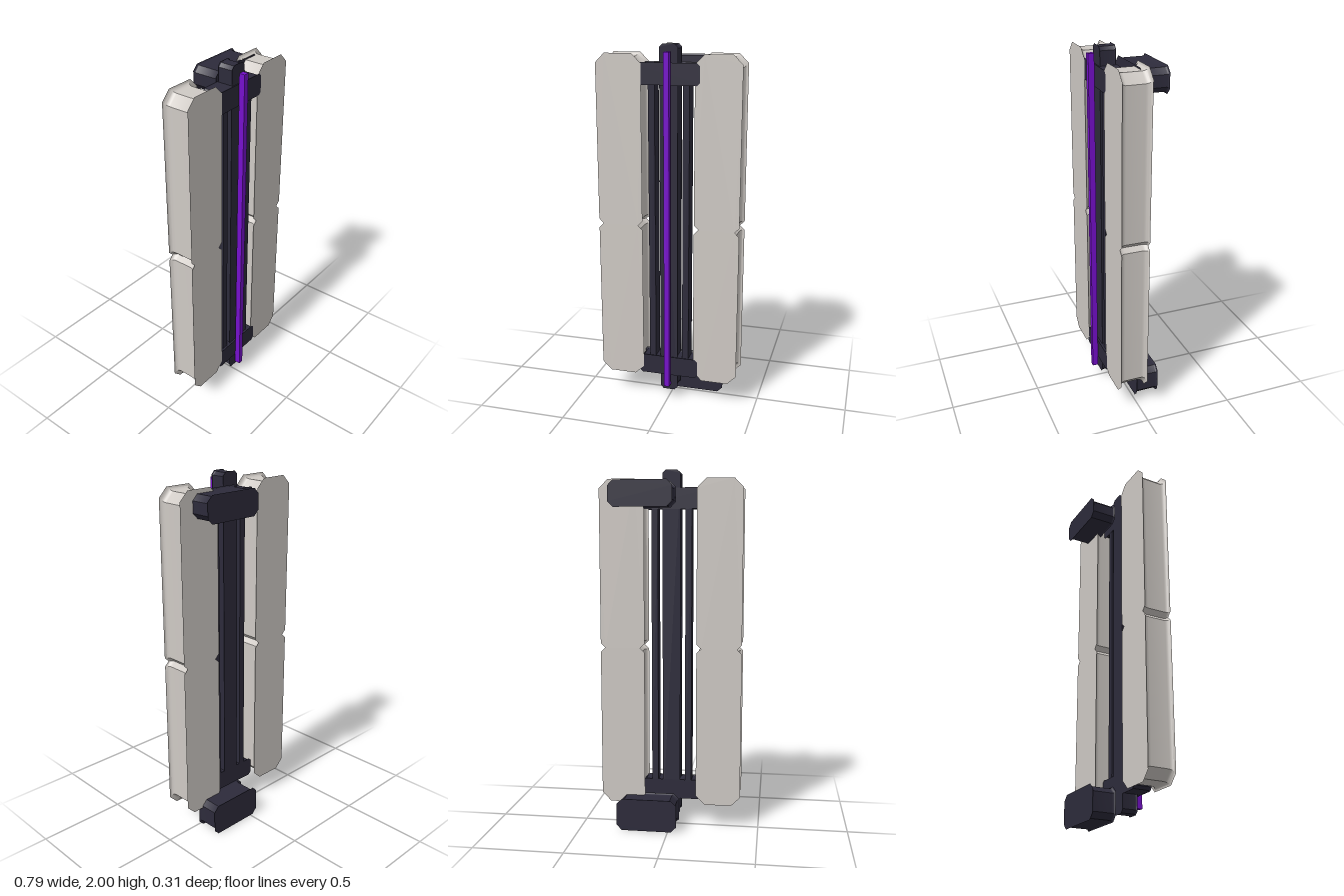
import * as THREE from 'three';
import { toCreasedNormals } from 'three/addons/utils/BufferGeometryUtils.js';

const paint = (name, color) => {
  const m = new THREE.MeshStandardMaterial({ color });
  m.name = name;
  return m;
};

// Chamfered rectangle, counter-clockwise, shrunk by inset; optional V notches at height notchY
function outline({ x0, x1, y0, y1, c, notchY }, inset) {
  const l = x0 + inset, r = x1 - inset, b = y0 + inset, t = y1 - inset;
  const n = 0.025;
  const right = notchY ? [[r, notchY - n], [r - n, notchY], [r, notchY + n]] : [];
  const left = notchY ? [[l, notchY + n], [l + n, notchY], [l, notchY - n]] : [];
  return [[l + c, b], [r - c, b], [r, b + c], ...right, [r, t - c], [r - c, t],
    [l + c, t], [l, t - c], ...left, [l, b + c]];
}

// Slab between z0 and z1 whose rim flares outward along a quarter arc at both faces
function flaredSlab(spec) {
  const { z0, z1, flare, depth } = spec;
  const steps = 6, levels = [];
  for (let i = 0; i <= steps; i++) {
    const a = (i / steps) * Math.PI / 2;
    levels.push([z0 + depth * (1 - Math.cos(a)), flare * Math.sin(a)]);
  }
  for (let i = steps; i >= 0; i--) levels.push([z0 + z1 - levels[i][0], levels[i][1]]);

  const pos = [], index = [];
  const n = outline(spec, 0).length;
  for (const [z, inset] of levels) {
    for (const [x, y] of outline(spec, inset)) pos.push(x, y, z);
  }
  for (let k = 0; k < levels.length - 1; k++) {
    for (let i = 0; i < n; i++) {
      const a = k * n + i, b = k * n + (i + 1) % n;
      index.push(a, b, b + n, a, b + n, a + n);
    }
  }
  // Flat front and back faces
  const last = (levels.length - 1) * n;
  const flat = outline(spec, 0).map(([x, y]) => new THREE.Vector2(x, y));
  for (const [a, b, c] of THREE.ShapeUtils.triangulateShape(flat, [])) {
    index.push(last + a, last + b, last + c, c, b, a);
  }
  const g = new THREE.BufferGeometry();
  g.setAttribute('position', new THREE.Float32BufferAttribute(pos, 3));
  g.setIndex(index);
  return toCreasedNormals(g, 0.5);
}

export function createModel() {
  const group = new THREE.Group();
  const pale = paint('warm pale grey', 0xcfcac5);
  const dark = paint('dark slate', 0x2d2b3b);
  const purple = paint('purple', 0x7610cc);

  const add = (name, geometry, material) => {
    const mesh = new THREE.Mesh(geometry, material);
    mesh.name = name;
    group.add(mesh);
    return mesh;
  };
  const slab = (name, material, x0, x1, y0, y1, z0, z1, c, flare, depth, notchY) =>
    add(name, flaredSlab({ x0, x1, y0, y1, z0, z1, c, flare, depth, notchY }), material);
  const box = (name, material, x0, x1, y0, y1, z0, z1) =>
    add(name, new THREE.BoxGeometry(x1 - x0, y1 - y0, z1 - z0), material)
      .position.set((x0 + x1) / 2, (y0 + y1) / 2, (z0 + z1) / 2);

  // Long side panels, notched at mid height
  slab('rightPanel', pale, -0.397, -0.146, 0.13, 1.95, -0.033, 0.122, 0.05, 0.022, 0.03, 1.025);
  slab('leftPanel', pale, 0.144, 0.393, 0.13, 1.95, -0.038, 0.119, 0.05, 0.022, 0.03, 1.025);

  // Central spine
  slab('spine', dark, -0.05, 0.05, 0.045, 2, 0.02, 0.106, 0.018, 0.006, 0.008);

  // Cross brackets joining the panels
  slab('topBracket', dark, -0.168, 0.17, 1.79, 1.905, 0.019, 0.121, 0.015, 0.006, 0.008);
  slab('bottomBracket', dark, -0.168, 0.17, 0.143, 0.255, 0.019, 0.121, 0.015, 0.006, 0.008);

  // Slim rods beside the spine
  for (const s of [-1, 1]) {
    const x = s * 0.095;
    box('sideRod', dark, x - 0.018, x + 0.018, 0.2, 1.85, 0.025, 0.105);
  }

  // Offset blocks on the back
  slab('topBackBlock', dark, -0.028, 0.32, 1.795, 1.937, -0.156, -0.011, 0.03, 0.01, 0.015);
  slab('bottomBackBlock', dark, -0.048, 0.29, 0, 0.182, -0.148, -0.018, 0.03, 0.01, 0.015);

  // Thin strip along the front
  box('frontStrip', purple, -0.015, 0.015, 0.085, 1.96, 0.123, 0.155);

  return group;
}
